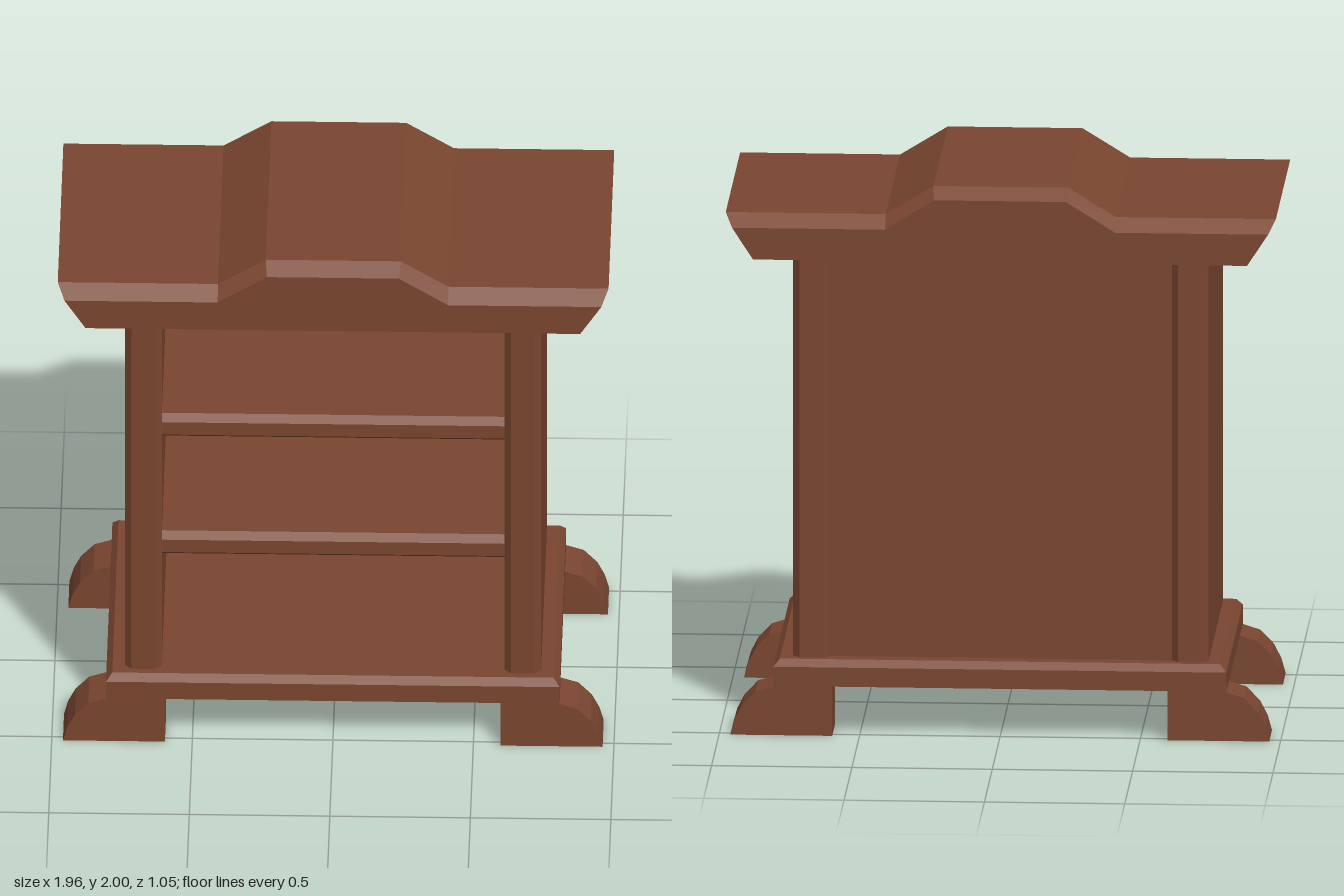
import * as THREE from 'three';

// Skin a list of matching counter-clockwise loops { pts, z }, back to front, with flat faces and capped ends.
function loft(sections) {
  const pos = [];
  const put = (s, i) => pos.push(s.pts[i][0], s.pts[i][1], s.z);
  for (let k = 0; k < sections.length - 1; k++) {
    const a = sections[k], b = sections[k + 1], n = a.pts.length;
    for (let i = 0; i < n; i++) {
      const j = (i + 1) % n;
      put(a, i); put(a, j); put(b, j);
      put(a, i); put(b, j); put(b, i);
    }
  }
  const cap = (s, flip) => {
    const contour = s.pts.map(([x, y]) => new THREE.Vector2(x, y));
    for (const [a, b, c] of THREE.ShapeUtils.triangulateShape(contour, [])) {
      put(s, a); put(s, flip ? c : b); put(s, flip ? b : c);
    }
  };
  cap(sections[0], true);
  cap(sections[sections.length - 1], false);
  const g = new THREE.BufferGeometry();
  g.setAttribute('position', new THREE.Float32BufferAttribute(pos, 3));
  g.computeVertexNormals();
  return g;
}

const prism = (pts, z0, z1) => loft([{ pts, z: z0 }, { pts, z: z1 }]);
const rect = (w, d) => [[-w, -d], [w, -d], [w, d], [-w, d]];

// Rectangle with all four corners cut off by c
const chamfered = (x0, y0, x1, y1, c) => [
  [x0 + c, y0], [x1 - c, y0], [x1, y0 + c], [x1, y1 - c],
  [x1 - c, y1], [x0 + c, y1], [x0, y1 - c], [x0, y0 + c],
];

// Close half an outline (right side, bottom to top) by mirroring it in x
const mirrored = (half) => [...half, ...half.slice().reverse().map(([x, y]) => [-x, y])];

export function createModel() {
  const group = new THREE.Group();
  const wood = new THREE.MeshStandardMaterial({ color: 0x7a4630 });
  wood.name = 'brown wood';
  const add = (name, geometry) => {
    const mesh = new THREE.Mesh(geometry, wood);
    mesh.name = name;
    group.add(mesh);
    return mesh;
  };

  // Plinth with a bevelled top edge
  add('base', loft([
    { pts: rect(0.807, 0.523), z: 0.18 },
    { pts: rect(0.807, 0.523), z: 0.25 },
    { pts: rect(0.785, 0.5), z: 0.275 },
  ]).rotateX(-Math.PI / 2));

  // Four scroll feet, flaring out sideways
  const footProfile = [
    [0.597, 0], [0.96, 0], [0.945, 0.055], [0.918, 0.108],
    [0.87, 0.158], [0.807, 0.178], [0.807, 0.18], [0.597, 0.18],
  ];
  for (const [z0, z1] of [[0.347, 0.523], [-0.523, -0.347]]) {
    for (const turn of [0, Math.PI]) {
      add('foot', prism(footProfile, z0, z1)).rotation.y = turn;
    }
  }

  // Thick side walls with bevelled vertical edges
  for (const x of [-0.74, 0.61]) {
    add('sideWall', prism(chamfered(x, -0.474, x + 0.13, 0.474, 0.023), 0.275, 1.74)
      .rotateX(-Math.PI / 2));
  }

  // Back panel
  const back = add('backPanel', new THREE.BoxGeometry(1.22, 1.465, 0.04));
  back.position.set(0, 1.0075, -0.431);

  // Shelves with a bevelled front edge (profile runs along -z)
  for (const y of [0.735, 1.232]) {
    const profile = [
      [-0.425, y], [0.42, y], [0.42, y + 0.096],
      [-0.425, y + 0.096], [-0.45, y + 0.072], [-0.45, y + 0.02],
    ];
    add('shelf', prism(profile, -0.61, 0.61).rotateY(Math.PI / 2));
  }

  // Flared cornice with a raised centre, bevelled along front and back
  const outer = mirrored([[0.88, 1.735], [0.98, 1.895], [0.41, 1.895], [0.24, 2]]);
  const inner = mirrored([[0.88, 1.735], [0.955, 1.85], [0.41, 1.85], [0.235, 1.96]]);
  add('cornice', loft([
    { pts: inner, z: -0.507 },
    { pts: outer, z: -0.455 },
    { pts: outer, z: 0.455 },
    { pts: inner, z: 0.507 },
  ]));

  return group;
}
